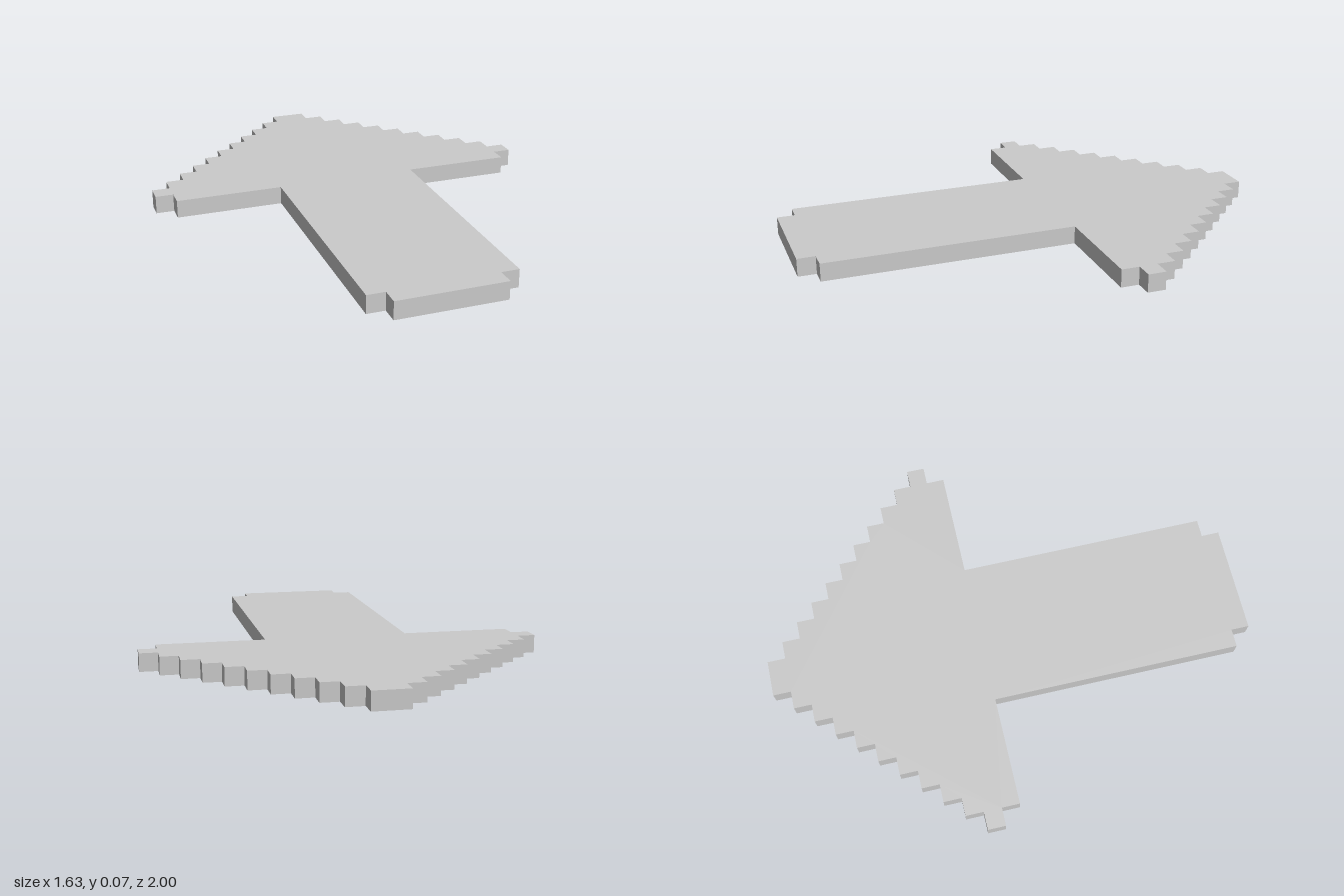
import * as THREE from 'three';

const U = 2 / 27; // one grid cell; the arrow is 27 cells long and one thick

export function createModel() {
  const group = new THREE.Group();
  group.name = 'steppedArrow';

  // Bands from tip to tail: [half width, length], in cells
  const bands = [];
  for (let half = 1; half <= 11; half++) bands.push([half, 1]); // stepped head
  bands.push([10, 1]); // trimmed base of the head
  bands.push([4, 14]); // shaft
  bands.push([3, 1]); // notched tail

  // Stair outline of the left half, tip to tail
  const half = [];
  let row = 0;
  for (const [width, length] of bands) {
    half.push(new THREE.Vector2(width * U, 1 - row * U));
    row += length;
    half.push(new THREE.Vector2(width * U, 1 - row * U));
  }

  // Mirror it to close the outline
  const mirrored = half.map((p) => new THREE.Vector2(-p.x, p.y)).reverse();
  const shape = new THREE.Shape([...half, ...mirrored]);

  // Extrude one cell thick and lay flat, tip towards the back
  const geometry = new THREE.ExtrudeGeometry(shape, { depth: U, bevelEnabled: false });
  geometry.rotateX(-Math.PI / 2);

  const arrow = new THREE.Mesh(
    geometry,
    new THREE.MeshStandardMaterial({ color: 0xcccccc, flatShading: true })
  );
  arrow.name = 'arrowPlate';
  group.add(arrow);
  return group;
}
